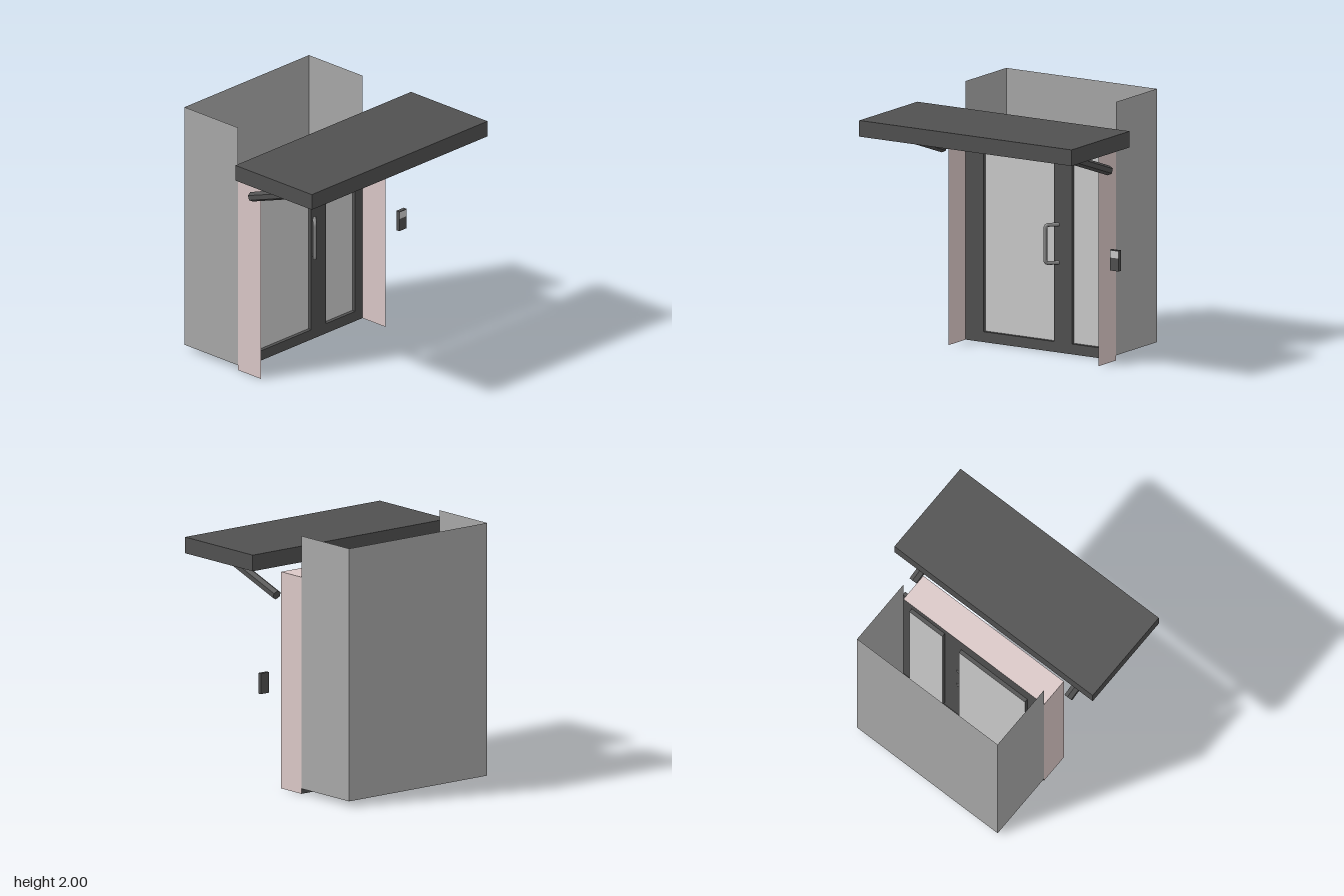
import * as THREE from 'three';

const mat = (color, extra = {}) => new THREE.MeshStandardMaterial({ color, ...extra });
const thin = { side: THREE.DoubleSide };

export function createModel() {
  const model = new THREE.Group();
  const dark = mat(0x505050), darkThin = mat(0x505050, thin);
  const wallGrey = mat(0xa8a8a8, thin), liner = mat(0xdbc8c7, thin);
  const glass = mat(0xcccccc, thin), metal = mat(0x888888);

  const add = (name, geometry, material, parent = model) => {
    const mesh = new THREE.Mesh(geometry, material);
    mesh.name = name;
    parent.add(mesh);
    return mesh;
  };
  // box and thin sheets given by their limits
  const box = (name, x0, x1, y0, y1, z0, z1, material) =>
    add(name, new THREE.BoxGeometry(x1 - x0, y1 - y0, z1 - z0), material)
      .position.set((x0 + x1) / 2, (y0 + y1) / 2, (z0 + z1) / 2);
  const sheetX = (name, x, y0, y1, z0, z1, m) =>
    add(name, new THREE.PlaneGeometry(z1 - z0, y1 - y0)
      .rotateY(x < 0 ? -Math.PI / 2 : Math.PI / 2)
      .translate(x, (y0 + y1) / 2, (z0 + z1) / 2), m);
  const sheetY = (name, y, x0, x1, z0, z1, m) =>
    add(name, new THREE.PlaneGeometry(x1 - x0, z1 - z0)
      .rotateX(-Math.PI / 2)
      .translate((x0 + x1) / 2, y, (z0 + z1) / 2), m);
  const sheetZ = (name, z, x0, x1, y0, y1, m) =>
    add(name, new THREE.PlaneGeometry(x1 - x0, y1 - y0)
      .translate((x0 + x1) / 2, (y0 + y1) / 2, z), m);

  const W = 0.68, H = 1.68, FRONT = -0.24, GLASS = -0.27, BACK = -0.8;

  // room behind the door: open at the top and the front
  for (const s of [-1, 1]) sheetX('roomSideWall', s * W, 0.04, 2, BACK, FRONT, wallGrey);
  sheetZ('roomBackWall', BACK, -W, W, 0.04, 2, wallGrey);
  sheetY('roomFloor', 0.04, -W, W, BACK, FRONT, darkThin);

  // lining of the wall opening
  for (const s of [-1, 1]) sheetX('jambLining', s * W, 0, H, FRONT, 0, liner);
  sheetY('headLining', H, -W, W, FRONT, 0, liner);

  // door frame with two glazed openings: x0, x1, y0, y1
  const panes = [[-0.52, 0.12, 0.08, 1.525], [0.28, 0.6, 0.08, 1.605]];
  const rect = (Path, x0, x1, y0, y1) => new Path([
    [x0, y0], [x1, y0], [x1, y1], [x0, y1], [x0, y0],
  ].map(([x, y]) => new THREE.Vector2(x, y)));
  const face = rect(THREE.Shape, -W, W, 0, H);
  for (const [x0, x1, y0, y1] of panes) {
    face.holes.push(rect(THREE.Path, x0, x1, y0, y1));
    for (const x of [x0, x1]) sheetX('paneReveal', x, y0, y1, GLASS, FRONT, darkThin);
    for (const y of [y0, y1]) sheetY('paneReveal', y, x0, x1, GLASS, FRONT, darkThin);
    sheetZ('glassPane', GLASS, x0, x1, y0, y1, glass);
  }
  add('doorFrame', new THREE.ShapeGeometry(face).translate(0, 0, FRONT), darkThin);

  // pull handle: slanted arms, rounded bends and an upright grip
  const v = (x, y, z) => new THREE.Vector3(x, y, z);
  const points = [v(0.16, 0.99, -0.245), v(0.087, 0.99, -0.17), v(0.087, 0.695, -0.17), v(0.16, 0.695, -0.245)];
  const path = new THREE.CurvePath();
  let from = points[0];
  for (const i of [1, 2]) {
    const corner = points[i];
    const toward = (p) => corner.clone().add(p.clone().sub(corner).setLength(0.025));
    const a = toward(points[i - 1]), b = toward(points[i + 1]);
    path.add(new THREE.LineCurve3(from, a));
    path.add(new THREE.QuadraticBezierCurve3(a, corner, b));
    from = b;
  }
  path.add(new THREE.LineCurve3(from, points[3]));
  add('doorHandle', new THREE.TubeGeometry(path, 80, 0.015, 8), metal);

  // canopy and its six-sided struts
  box('canopy', -0.96, 0.96, 1.725, 1.85, 0, 0.8, dark);
  const strutMat = mat(0x505050, { flatShading: true });
  const low = v(0, 1.515, -0.032), high = v(0, 1.725, 0.568);
  const length = low.distanceTo(high);
  for (const s of [-1, 1]) {
    const strut = add('canopyStrut', new THREE.CylinderGeometry(0.0375, 0.0375, length, 6), strutMat);
    strut.position.copy(low).add(high).multiplyScalar(0.5).setX(s * 0.75);
    strut.rotation.x = Math.atan2(high.z - low.z, high.y - low.y);
  }

  // entry panel beside the door
  box('entryPanel', 0.8, 0.88, 0.76, 0.92, 0, 0.03, dark);
  sheetZ('entryScreen', 0.031, 0.802, 0.878, 0.86, 0.914, glass);

  return model;
}
